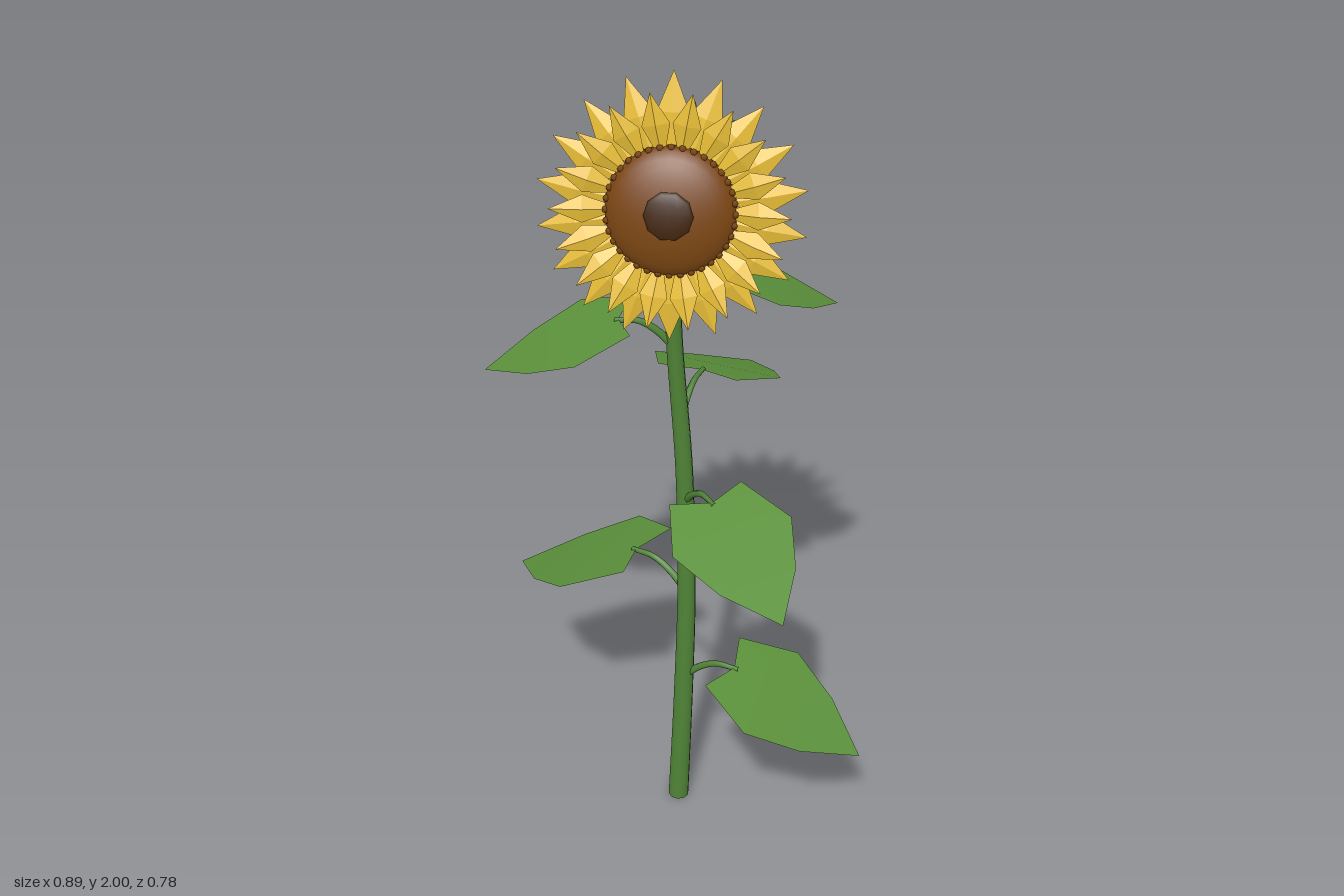
import * as THREE from 'three';
import { mergeGeometries } from 'three/addons/utils/BufferGeometryUtils.js';

const paint = (name, color, side = THREE.FrontSide) => {
  const m = new THREE.MeshStandardMaterial({ color, side });
  m.name = name;
  return m;
};

function addMesh(parent, name, geometry, material) {
  const mesh = new THREE.Mesh(geometry, material);
  mesh.name = name;
  parent.add(mesh);
  return mesh;
}

// Tube along a path whose radius goes from r0 to r1
function taperedTube(path, segments, sides, r0, r1) {
  const geo = new THREE.TubeGeometry(path, segments, 1, sides);
  const pos = geo.attributes.position, uv = geo.attributes.uv;
  const v = new THREE.Vector3();
  for (let i = 0; i < pos.count; i++) {
    const u = uv.getX(i), c = path.getPointAt(u);
    v.fromBufferAttribute(pos, i).sub(c).multiplyScalar(r0 + (r1 - r0) * u).add(c);
    pos.setXYZ(i, v.x, v.y, v.z);
  }
  return geo;
}

// Ring of pointed, creased blades around the z axis
function bladeRing({ count, offset, radii, depths, halfWidth, ridge }) {
  const [r0, r1, r2] = radii, [z0, z1, z2] = depths;
  const base = [0, r0, z0], left = [-halfWidth, r1, z1], right = [halfWidth, r1, z1];
  const mid = [0, r1, z1 + ridge], tip = [0, r2, z2];
  const faces = [base, right, mid, mid, right, tip, base, mid, left, left, mid, tip];
  const blades = [];
  for (let i = 0; i < count; i++) {
    const geo = new THREE.BufferGeometry();
    geo.setAttribute('position', new THREE.Float32BufferAttribute(faces.flat(), 3));
    geo.rotateZ(((i + offset) / count) * Math.PI * 2);
    geo.computeVertexNormals();
    blades.push(geo);
  }
  return mergeGeometries(blades);
}

// Heart-shaped leaf blade along +x, drooping towards the tip
function leafBlade(s, drop) {
  const half = [[0.10, 0.01, 0.097], [0.225, -0.26 * drop, 0.16], [0.338, -0.64 * drop, 0.102]];
  const pts = [[0.13, 0, 0]];
  for (const [x, y, z] of half) pts.push([x, y, -z], [x, y, z]);
  pts.push([0.447, -drop, 0]);
  const geo = new THREE.BufferGeometry();
  geo.setAttribute('position', new THREE.Float32BufferAttribute(
    pts.flatMap(([x, y, z]) => [x * s, y, z * s]), 3));
  geo.setIndex([0, 2, 4, 0, 4, 3, 0, 3, 1, 3, 4, 6, 3, 6, 5, 5, 6, 7]);
  geo.computeVertexNormals();
  return geo;
}

export function createModel() {
  const model = new THREE.Group();
  model.name = 'sunflower';
  const stemGreen = paint('stem green', 0x508437);
  const leafGreen = paint('leaf green', 0x5c923c, THREE.DoubleSide);
  const sepalGreen = paint('sepal green', 0x4a8038, THREE.DoubleSide);
  const yellow = paint('petal yellow', 0xe6bc36, THREE.DoubleSide);
  const brown = paint('seed brown', 0x7a4512);
  const darkBrown = paint('centre dark brown', 0x432610);

  // Stem, bending forward into the back of the flower head
  const stemPath = new THREE.CatmullRomCurve3([
    [-0.015, 0, 0.032], [-0.002, 0.35, 0.029], [0.005, 0.65, 0.027], [0, 1.0, 0.03],
    [-0.02, 1.35, 0.045], [-0.022, 1.52, 0.06], [-0.02, 1.62, 0.073], [-0.018, 1.7, 0.11],
  ].map((p) => new THREE.Vector3(...p)));
  addMesh(model, 'stem', taperedTube(stemPath, 40, 10, 0.026, 0.017), stemGreen);
  const foot = addMesh(model, 'stemFoot', new THREE.CircleGeometry(0.026, 10), stemGreen);
  foot.rotation.x = Math.PI / 2;
  foot.position.set(-0.015, 0.001, 0.032);

  // Leaves: stem x, stem z, leaf base height, then the tip
  const leaves = [
    [-0.002, 0.03, 0.46, 0.443, 0.30, 0.186],
    [0.005, 0.027, 0.72, -0.438, 0.55, -0.19],
    [0, 0.03, 0.985, 0.255, 0.84, 0.386],
    [-0.01, 0.037, 1.205, 0.124, 1.06, -0.39],
    [-0.02, 0.047, 1.41, -0.443, 1.28, 0.088],
    [-0.022, 0.058, 1.525, 0.335, 1.39, -0.10],
  ];
  for (const [sx, sz, y, tx, ty, tz] of leaves) {
    const leaf = new THREE.Group();
    leaf.name = 'leaf';
    leaf.position.set(sx, y, sz);
    leaf.rotation.y = -Math.atan2(tz - sz, tx - sx);
    const s = Math.hypot(tx - sx, tz - sz) / 0.447;
    const stalk = new THREE.CatmullRomCurve3(
      [[0, -0.07], [0.045, -0.025], [0.085, -0.003], [0.14, -0.003]]
        .map(([x, h]) => new THREE.Vector3(x * s, h, 0)));
    addMesh(leaf, 'leafStalk', taperedTube(stalk, 10, 6, 0.01, 0.006), stemGreen);
    addMesh(leaf, 'leafBlade', leafBlade(s, y - ty), leafGreen);
    model.add(leaf);
  }

  // Flower head, tilted slightly upward
  const head = new THREE.Group();
  head.name = 'flowerHead';
  head.position.set(-0.018, 1.715, 0.132);
  head.rotation.x = -0.2;
  model.add(head);

  addMesh(head, 'outerPetals', bladeRing({ count: 18, offset: 0, radii: [0.1, 0.205, 0.29],
    depths: [-0.008, -0.015, -0.022], halfWidth: 0.034, ridge: 0.01 }), yellow);
  addMesh(head, 'innerPetals', bladeRing({ count: 18, offset: 0.5, radii: [0.1, 0.185, 0.255],
    depths: [0, 0.014, 0.028], halfWidth: 0.03, ridge: 0.01 }), yellow);
  addMesh(head, 'sepals', bladeRing({ count: 16, offset: 0.5, radii: [0.09, 0.165, 0.228],
    depths: [-0.03, -0.036, -0.034], halfWidth: 0.026, ridge: -0.008 }), sepalGreen);

  // Half domes for the seed disc and the green back
  const dome = new THREE.SphereGeometry(0.14, 28, 8, 0, Math.PI * 2, 0, Math.PI / 2)
    .rotateX(Math.PI / 2);
  addMesh(head, 'seedDisc', dome, brown).scale.z = 0.36;
  const back = addMesh(head, 'headBack', dome, stemGreen);
  back.rotation.y = Math.PI;
  back.scale.set(0.96, 0.96, 0.4);

  // Small florets around the rim of the seed disc
  const florets = [];
  for (let i = 0; i < 36; i++) {
    const a = (i / 36) * Math.PI * 2;
    florets.push(new THREE.SphereGeometry(0.008, 6, 4)
      .translate(Math.cos(a) * 0.136, Math.sin(a) * 0.136, 0.01));
  }
  addMesh(head, 'rimFlorets', mergeGeometries(florets), brown);

  // Dark middle of the seed disc
  const middle = addMesh(head, 'darkCentre', new THREE.SphereGeometry(0.055, 10, 6)
    .rotateX(Math.PI / 2), darkBrown);
  middle.scale.z = 0.22;
  middle.position.z = 0.045;

  return model;
}
